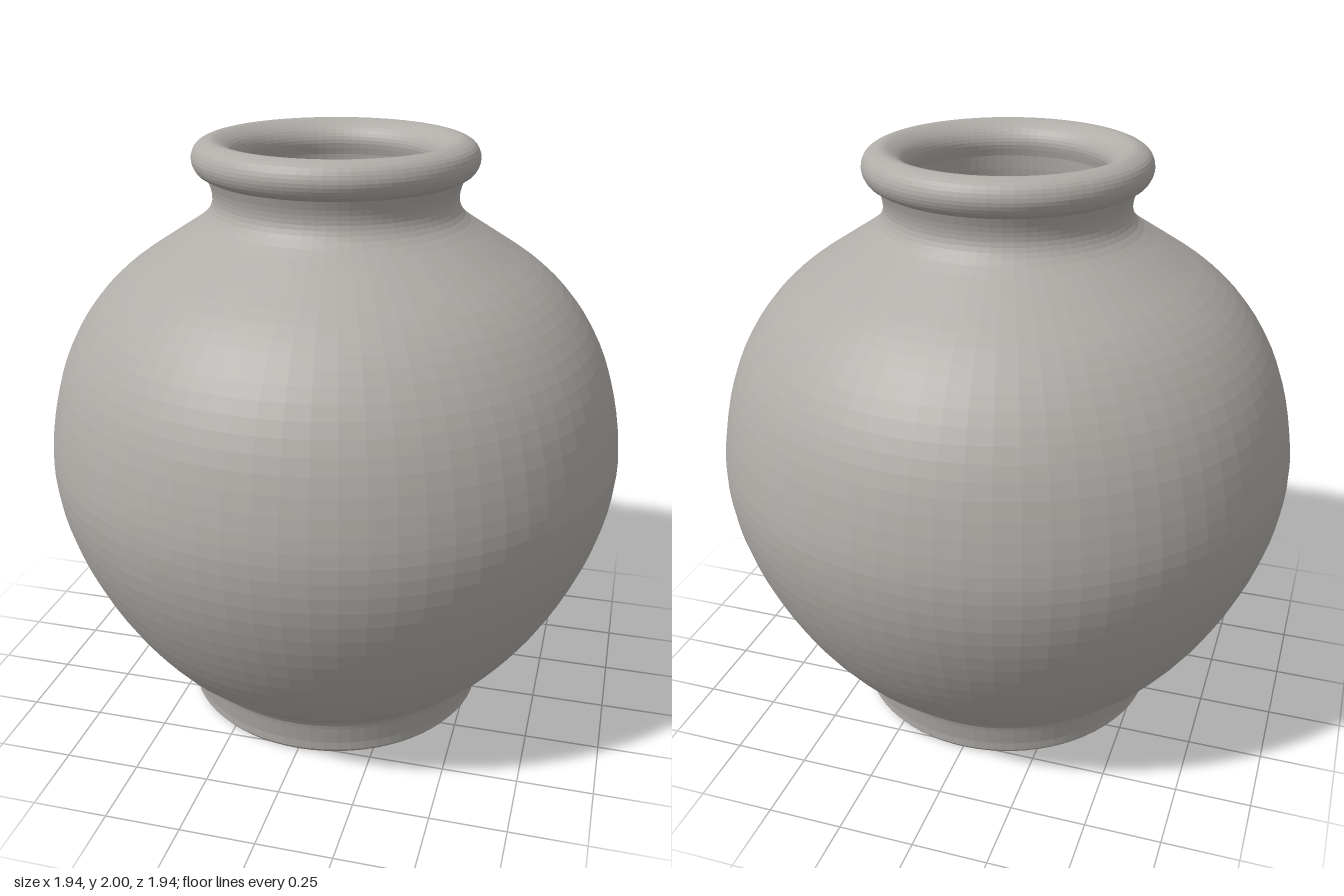
import * as THREE from 'three';

const SEGMENTS = 72;

// Smooth curve through a few [radius, height] points
function smooth(points, count) {
  return new THREE.SplineCurve(points.map(([r, y]) => new THREE.Vector2(r, y))).getPoints(count);
}

// Revolved surface with fine flat facets
function turned(name, points, material) {
  const geometry = new THREE.LatheGeometry(points, SEGMENTS).toNonIndexed();
  geometry.computeVertexNormals();
  const mesh = new THREE.Mesh(geometry, material);
  mesh.name = name;
  return mesh;
}

export function createModel() {
  const clay = new THREE.MeshStandardMaterial({ color: 0xb0aca8 });
  clay.name = 'grey clay';
  const vase = new THREE.Group();
  vase.name = 'vase';

  // Flat base with a small bevel and a slightly flared foot
  const foot = [[0, 0], [0.515, 0], [0.527, 0.015], [0.529, 0.045], [0.54, 0.1]]
    .map(([r, y]) => new THREE.Vector2(r, y));
  vase.add(turned('foot', foot, clay));

  // Round belly, sloping shoulder and narrow neck
  const body = smooth([
    [0.54, 0.1], [0.56, 0.147], [0.66, 0.237], [0.78, 0.395], [0.88, 0.58],
    [0.945, 0.76], [0.971, 0.92], [0.963, 1.06], [0.925, 1.23], [0.865, 1.37],
    [0.78, 1.49], [0.68, 1.583], [0.55, 1.67], [0.44, 1.743], [0.405, 1.79],
    [0.403, 1.835], [0.417, 1.88],
  ], 48);
  vase.add(turned('body', body, clay));

  // Thick rolled rim
  const rim = smooth([
    [0.417, 1.88], [0.45, 1.9], [0.465, 1.94], [0.45, 1.98], [0.41, 2],
    [0.375, 1.993], [0.34, 1.967], [0.325, 1.93], [0.335, 1.885],
  ], 28);
  vase.add(turned('rim', rim, clay));

  // Hollow inside wall following the belly
  const inside = smooth([
    [0.335, 1.885], [0.345, 1.81], [0.37, 1.735], [0.5, 1.635], [0.66, 1.52],
    [0.79, 1.37], [0.87, 1.18], [0.905, 0.95], [0.875, 0.73], [0.79, 0.51],
    [0.66, 0.32], [0.52, 0.18], [0.44, 0.1],
  ], 36);
  inside.push(new THREE.Vector2(0, 0.08));
  vase.add(turned('inside', inside, clay));

  return vase;
}
